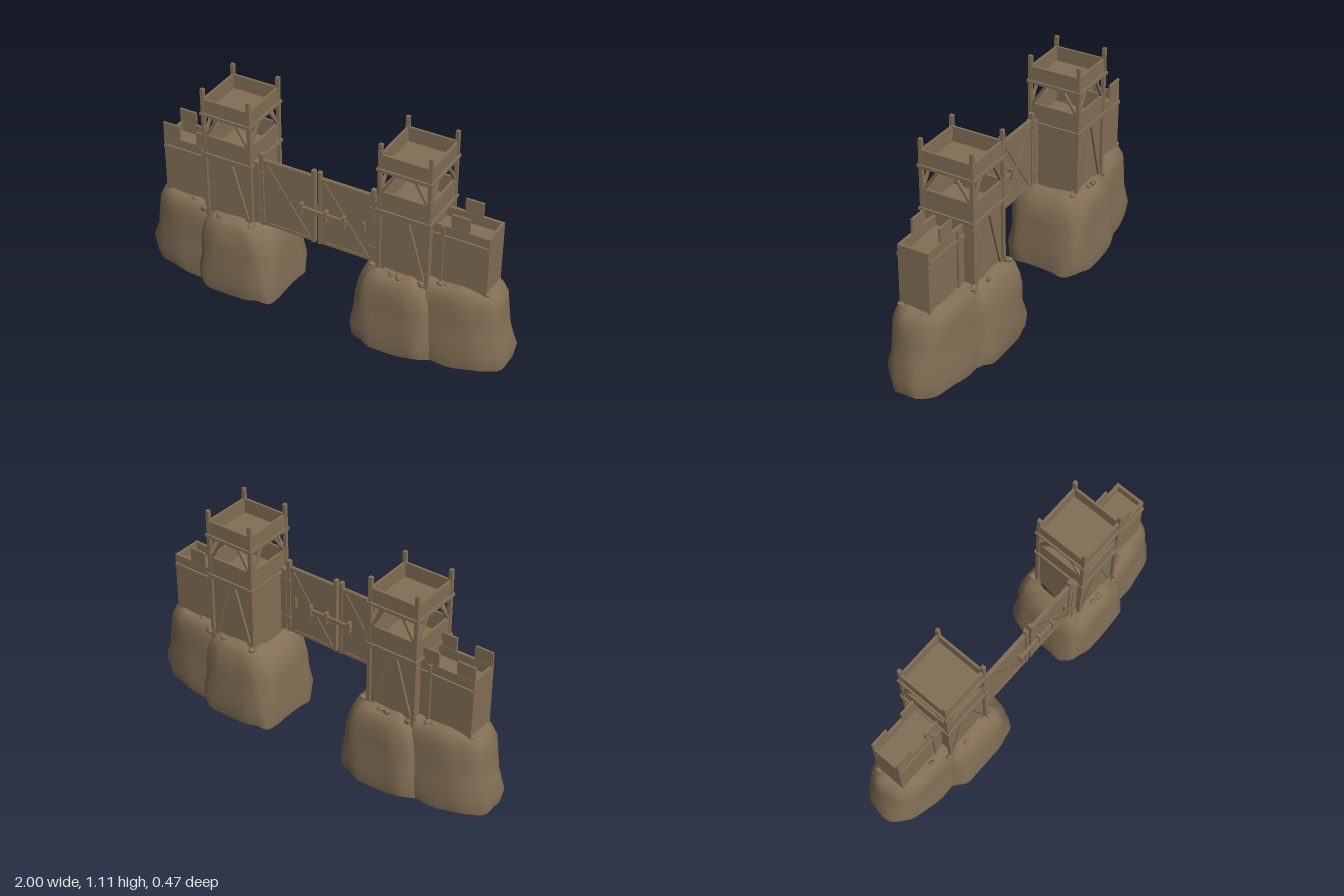
import * as THREE from 'three';

const wood = new THREE.MeshStandardMaterial({ color: 0x836f55 });
wood.name = 'weathered brown';
const rock = wood.clone();
rock.name = 'earth brown';
rock.side = THREE.DoubleSide;

// Box given by its min and max corners
function box(parent, name, x0, x1, y0, y1, z0, z1) {
  const m = new THREE.Mesh(new THREE.BoxGeometry(Math.abs(x1 - x0), y1 - y0, Math.abs(z1 - z0)), wood);
  m.position.set((x0 + x1) / 2, (y0 + y1) / 2, (z0 + z1) / 2);
  m.name = name;
  parent.add(m);
  return m;
}

// Slanted timber from a to b
function beam(parent, name, a, b, w, d) {
  const p = new THREE.Vector3(...a), q = new THREE.Vector3(...b);
  const dir = q.clone().sub(p);
  const m = new THREE.Mesh(new THREE.BoxGeometry(w, dir.length(), d), wood);
  m.position.copy(p).add(q).multiplyScalar(0.5);
  m.quaternion.setFromUnitVectors(new THREE.Vector3(0, 1, 0), dir.normalize());
  m.name = name;
  parent.add(m);
}

// Rock shell lofted through superellipse rings [y, half x, half z]
function rockLobe(cx, rings, n, seed) {
  const N = 48, pos = [], idx = [];
  const pw = (v) => Math.sign(v) * Math.pow(Math.abs(v), 2 / n);
  rings.forEach(([y, rx, rz], j) => {
    const last = j === rings.length - 1;
    for (let i = 0; i < N; i++) {
      const t = (i / N) * Math.PI * 2;
      const k = last ? 1 : 1 + 0.016 * Math.sin(5 * t + seed + j * 0.9) + 0.012 * Math.sin(11 * t + seed * 2 - j);
      const dy = j === 0 ? 0.008 * (1 + Math.sin(6 * t + seed)) : 0.004 * Math.sin(7 * t + j);
      pos.push(cx + rx * k * pw(Math.cos(t)), y + dy, rz * k * pw(Math.sin(t)));
      if (!last) {
        const a = j * N + i, b = j * N + (i + 1) % N;
        idx.push(a, a + N, b, b, a + N, b + N);
      }
    }
  });
  const g = new THREE.BufferGeometry();
  g.setAttribute('position', new THREE.Float32BufferAttribute(pos, 3));
  g.setIndex(idx);
  g.computeVertexNormals();
  return new THREE.Mesh(g, rock);
}

function rockBase(s) {
  const g = new THREE.Group();
  g.name = 'rockBase';
  const inner = rockLobe(0.437, [[0, 0.232, 0.218], [0.09, 0.235, 0.23], [0.18, 0.22, 0.214], [0.27, 0.213, 0.216],
    [0.34, 0.2, 0.206], [0.39, 0.175, 0.193], [0.42, 0.145, 0.172], [0.432, 0.117, 0.125]], 4, 1);
  inner.name = 'towerRock';
  const outer = rockLobe(0.66, [[0, 0.325, 0.165], [0.09, 0.338, 0.176], [0.18, 0.31, 0.16], [0.28, 0.296, 0.158],
    [0.36, 0.29, 0.153], [0.41, 0.265, 0.138], [0.43, 0.235, 0.115], [0.436, 0.18, 0.06]], 2.5, 2.3);
  outer.name = 'wingRock';
  g.add(inner, outer);
  if (s < 0) g.rotation.y = Math.PI;
  return g;
}

function tower(s) {
  const g = new THREE.Group();
  g.name = 'watchtower';
  g.position.x = s * 0.474;
  const X = 0.135, Z = 0.142;
  box(g, 'towerBody', -0.122, 0.122, 0.38, 0.76, -0.127, 0.127);
  box(g, 'upperFloor', -0.125, 0.125, 0.975, 0.985, -0.13, 0.13);
  for (const a of [-1, 1]) {
    for (const b of [-1, 1]) {
      box(g, 'cornerPost', a * X, a * (X - 0.018), 0.39, 1.115, b * Z, b * (Z - 0.018));
      beam(g, 'storeyBrace', [a * 0.118, 0.855, b * 0.132], [a * 0.045, 0.98, b * 0.132], 0.013, 0.012);
      beam(g, 'storeyBrace', [a * 0.126, 0.855, b * 0.125], [a * 0.126, 0.98, b * 0.04], 0.012, 0.013);
      // Inverted V timbers on front and back
      beam(g, 'wallBrace', [a * 0.108, 0.42, b * 0.131], [a * 0.014, 0.745, b * 0.131], 0.018, 0.014);
    }
    for (const [y0, y1] of [[0.755, 0.862], [0.982, 1.06]]) {
      box(g, 'parapetBoard', -0.125, 0.125, y0, y1, a * 0.138, a * 0.126);
      box(g, 'parapetBoard', a * 0.131, a * 0.119, y0, y1, -0.13, 0.13);
    }
    for (const y of [0.752, 0.973]) {
      box(g, 'trimRail', -0.141, 0.141, y, y + 0.014, a * 0.148, a * 0.136);
      box(g, 'trimRail', a * 0.141, a * 0.129, y, y + 0.014, -0.148, 0.148);
    }
    box(g, 'headRail', -0.12, 0.12, 0.735, 0.752, a * 0.138, a * 0.125);
  }
  return g;
}

function wingWall(s) {
  const g = new THREE.Group();
  g.name = 'wingWall';
  const merlons = s > 0 ? [[0.685, 0.777]] : [[0.6, 0.688], [0.785, 0.88]];
  for (const b of [-1, 1]) {
    box(g, 'sideWall', s * 0.59, s * 0.88, 0.4, 0.74, b * 0.08, b * 0.065);
    for (const [a, c] of merlons) box(g, 'merlon', s * a, s * c, 0.738, 0.812, b * 0.078, b * 0.067);
    box(g, 'wallRail', s * 0.6, s * 0.875, 0.675, 0.693, b * 0.09, b * 0.078);
    box(g, 'wallPost', s * 0.64, s * 0.656, 0.41, 0.735, b * 0.09, b * 0.078);
  }
  box(g, 'endWall', s * 0.866, s * 0.88, 0.4, 0.738, -0.078, 0.078);
  box(g, 'walkway', s * 0.59, s * 0.87, 0.67, 0.688, -0.07, 0.07);
  return g;
}

function gateLeaf(s) {
  const g = new THREE.Group();
  g.name = 'gateLeaf';
  const z = 0.1;
  box(g, 'gatePanel', s * 0.01, s * 0.315, 0.425, 0.803, z - 0.005, z + 0.005);
  box(g, 'meetingPost', s * 0.008, s * 0.026, 0.423, 0.833, z - 0.012, z + 0.012);
  box(g, 'hingePost', s * 0.29, s * 0.31, 0.423, 0.833, z - 0.012, z + 0.012);
  box(g, 'jamb', s * 0.312, s * 0.345, 0.42, 0.78, z - 0.014, z + 0.014);
  for (const y of [0.5, 0.72]) box(g, 'hinge', s * 0.285, s * 0.335, y, y + 0.016, z - 0.017, z + 0.017);
  // Crossed timbers on both faces
  for (const b of [-1, 1]) {
    const f = z + b * 0.007;
    beam(g, 'crossBrace', [s * 0.035, 0.435, f], [s * 0.28, 0.79, f], 0.015, 0.006);
    beam(g, 'crossBrace', [s * 0.035, 0.79, f], [s * 0.28, 0.435, f], 0.015, 0.006);
    for (const y of [0.427, 0.785]) box(g, 'gateRail', s * 0.026, s * 0.29, y, y + 0.016, f - 0.003, f + 0.003);
  }
  return g;
}

function lockBars() {
  const g = new THREE.Group();
  g.name = 'lockBars';
  for (const b of [-1, 1]) {
    const z = 0.1 + b * 0.018;
    box(g, 'lockBar', -0.086, 0.17, 0.597, 0.617, z - 0.007, z + 0.007);
    for (const x of [-0.075, 0.06, 0.155, 0.257])
      box(g, 'barBracket', x - 0.007, x + 0.007, 0.578, 0.637, 0.1, 0.1 + b * (x > 0.2 ? 0.018 : 0.032));
  }
  return g;
}

// Loose stones around the foot of the walls: x, z, size
function stones(s) {
  const g = new THREE.Group();
  g.name = 'looseStones';
  const spots = [[0.31, 0.13, 0.016], [0.34, -0.155, 0.02], [0.43, 0.158, 0.015], [0.47, 0.16, 0.02], [0.52, -0.16, 0.017],
    [0.585, 0.158, 0.018], [0.62, -0.145, 0.02], [0.66, 0.11, 0.016], [0.7, -0.1, 0.018], [0.69, 0.1, 0.013], [0.885, 0.07, 0.016]];
  spots.forEach(([x, z, r], i) => {
    const m = new THREE.Mesh(new THREE.IcosahedronGeometry(r, 0), wood);
    m.position.set(s * x, 0.43, s * z);
    m.scale.set(1.2, 0.7, 1);
    m.rotation.set(i * 0.3, i * 1.7, 0);
    m.name = 'stone';
    g.add(m);
  });
  return g;
}

export function createModel() {
  const model = new THREE.Group();
  model.name = 'gatehouse';
  for (const s of [-1, 1]) model.add(rockBase(s), tower(s), wingWall(s), gateLeaf(s), stones(s));
  model.add(lockBars());
  return model;
}
